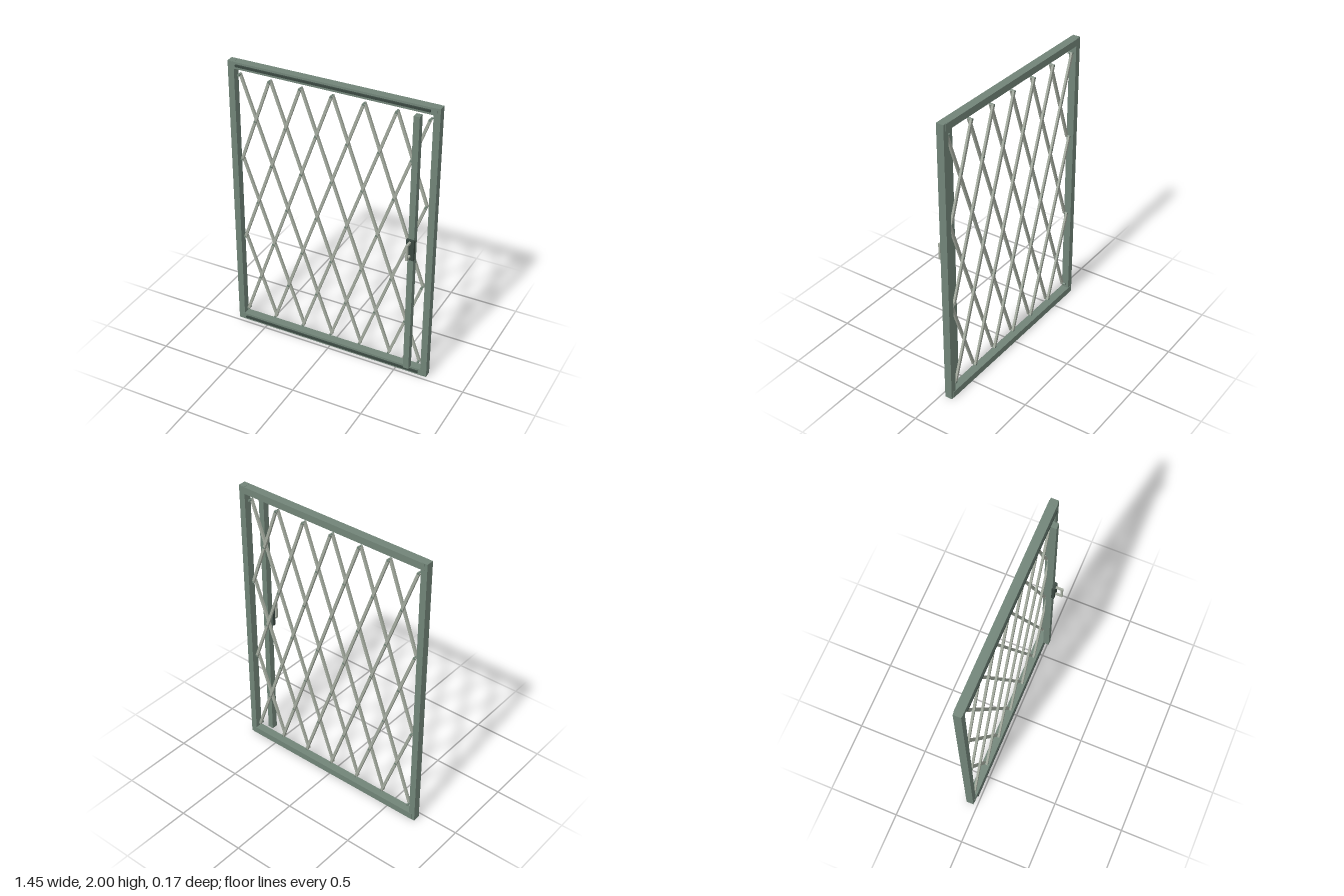
import * as THREE from 'three';

export function createModel() {
  const model = new THREE.Group();
  const mat = (name, color) => {
    const m = new THREE.MeshStandardMaterial({ color });
    m.name = name;
    return m;
  };
  const green = mat('frame green', 0x718478);
  const steel = mat('lattice grey', 0xa3aa9e);
  const dark = mat('dark green', 0x394740);

  // Box given by its minimum and maximum corners
  const box = (name, material, x0, x1, y0, y1, z0, z1, parent = model) => {
    const mesh = new THREE.Mesh(new THREE.BoxGeometry(x1 - x0, y1 - y0, z1 - z0), material);
    mesh.position.set((x0 + x1) / 2, (y0 + y1) / 2, (z0 + z1) / 2);
    mesh.name = name;
    parent.add(mesh);
    return mesh;
  };

  // Outer frame and sliding tracks
  box('rightFramePost', green, -0.724, -0.68, 0, 2, -0.081, -0.029);
  box('leftFramePost', green, 0.68, 0.724, 0, 2, -0.081, -0.029);
  box('bottomRail', green, -0.705, 0.705, 0.001, 0.048, -0.084, -0.027);
  box('topRail', green, -0.705, 0.705, 1.952, 1.999, -0.084, -0.027);
  box('bottomTrack', dark, -0.664, 0.664, 0.019, 0.033, -0.03, -0.016);
  box('topTrack', dark, -0.664, 0.664, 1.971, 1.985, -0.03, -0.016);

  // Folding lattice: two layers of crossing bars, pinned at the joints
  const lattice = new THREE.Group();
  lattice.name = 'lattice';
  model.add(lattice);
  const X0 = -0.655, DX = 0.2183, Y0 = 0.091, DY = 0.605, COLS = 6, ROWS = 3;
  const FRONT_Z = -0.045, BACK_Z = -0.064;
  const addBar = (c0, r0, c1, r1, z) => {
    const dx = (c1 - c0) * DX, dy = (r1 - r0) * DY;
    const bar = new THREE.Mesh(new THREE.BoxGeometry(0.018, Math.hypot(dx, dy) + 0.01, 0.015), steel);
    bar.position.set(X0 + ((c0 + c1) / 2) * DX, Y0 + ((r0 + r1) / 2) * DY, z);
    bar.rotation.z = -Math.atan2(dx, dy);
    bar.name = 'latticeBar';
    lattice.add(bar);
  };
  for (let c = 1 - ROWS; c < COLS; c++) {
    const a = Math.max(c, 0), b = Math.min(c + ROWS, COLS);
    addBar(a, a - c, b, b - c, FRONT_Z);
    addBar(a, ROWS - (a - c), b, ROWS - (b - c), BACK_Z);
  }
  const pinGeometry = new THREE.CylinderGeometry(0.008, 0.008, 0.036, 8).rotateX(Math.PI / 2);
  for (let i = 0; i <= COLS * 2; i++) {
    for (let j = i % 2; j <= ROWS * 2; j += 2) {
      const pin = new THREE.Mesh(pinGeometry, green);
      pin.position.set(X0 + (i * DX) / 2, Y0 + (j * DY) / 2, (FRONT_Z + BACK_Z) / 2);
      pin.name = 'latticePin';
      lattice.add(pin);
    }
  }

  // Sliding post with lock plate
  box('slidingPost', green, 0.573, 0.613, 0.06, 1.942, -0.026, 0.017);
  box('lockPlate', dark, 0.566, 0.62, 0.94, 1.087, 0.014, 0.034);

  // Pull handle
  const handle = new THREE.Group();
  handle.name = 'pullHandle';
  model.add(handle);
  box('handleGrip', steel, 0.586, 0.6, 0.965, 1.079, 0.07, 0.084, handle);
  for (const y of [0.965, 1.065]) box('handleArm', steel, 0.586, 0.6, y, y + 0.014, 0.03, 0.072, handle);

  return model;
}
